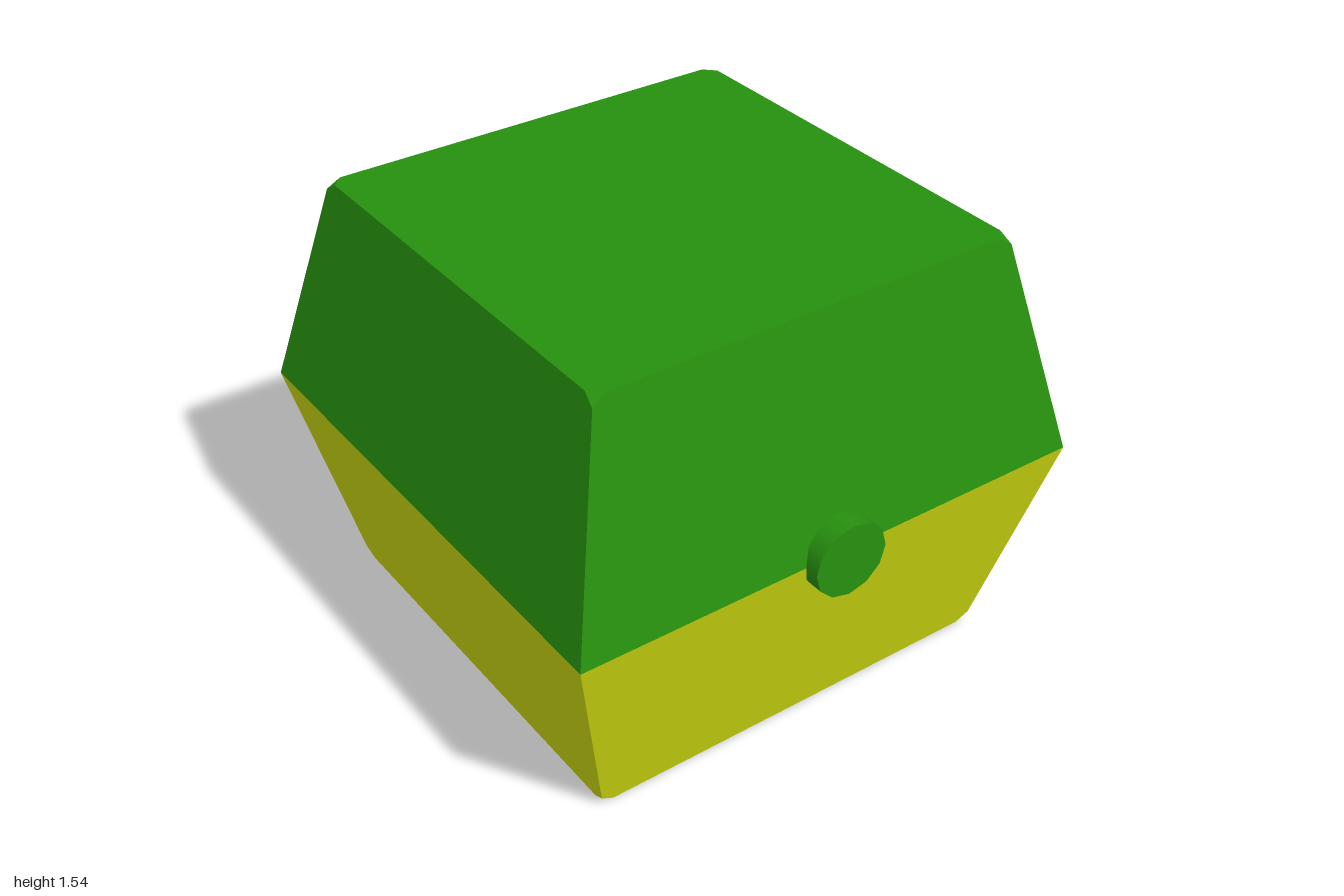
import * as THREE from 'three';

const MID = 0.95, END = 0.77, HALF = 0.77, CUT = 0.04, DROP = 0.03;

// Tapered open half-shell with clipped corners; dir is +1 for upper, -1 for lower
function halfShell(dir) {
  const positions = [];
  const up = new THREE.Vector3(0, 1, 0);
  const p = (x, y, z, turn) => new THREE.Vector3(x, y * dir, z).applyAxisAngle(up, turn);
  const fan = (pts) => {
    for (let i = 1; i < pts.length - 1; i++) {
      const tri = dir > 0 ? [pts[0], pts[i], pts[i + 1]] : [pts[0], pts[i + 1], pts[i]];
      tri.forEach((v) => positions.push(v.x, v.y, v.z));
    }
  };
  const low = END + (MID - END) * DROP / HALF; // half width at the start of the clip
  const cap = [];
  for (let i = 0; i < 4; i++) {
    const t = i * Math.PI / 2;
    const left = p(-END + CUT, HALF, END, t), right = p(END - CUT, HALF, END, t);
    const clip = p(low, HALF - DROP, low, t);
    // sloped side
    fan([p(-MID, 0, MID, t), p(MID, 0, MID, t), clip, right, left, p(-low, HALF - DROP, low, t)]);
    // clipped corner
    fan([clip, p(END, HALF, END - CUT, t), right]);
    cap.push(left, right);
  }
  fan(cap);
  const geo = new THREE.BufferGeometry();
  geo.setAttribute('position', new THREE.Float32BufferAttribute(positions, 3));
  geo.computeVertexNormals();
  return geo;
}

export function createModel() {
  const group = new THREE.Group();
  const green = new THREE.MeshStandardMaterial({ color: 0x27900f });
  const yellow = new THREE.MeshStandardMaterial({ color: 0xcad80f });
  const add = (name, geo, mat) => {
    const mesh = new THREE.Mesh(geo, mat);
    mesh.name = name;
    mesh.position.y = HALF;
    group.add(mesh);
    return mesh;
  };

  // Two halves of the body
  add('upperBody', halfShell(1), green);
  add('lowerBody', halfShell(-1), yellow);

  // Short side pegs
  const pegGeo = new THREE.CylinderGeometry(0.136, 0.136, 0.14, 12);
  pegGeo.scale(0.963, 1, 1).rotateZ(Math.PI / 2);
  for (const [name, side] of [['leftPeg', 1], ['rightPeg', -1]]) {
    add(name, pegGeo, green).position.x = side * 0.93;
  }
  return group;
}
